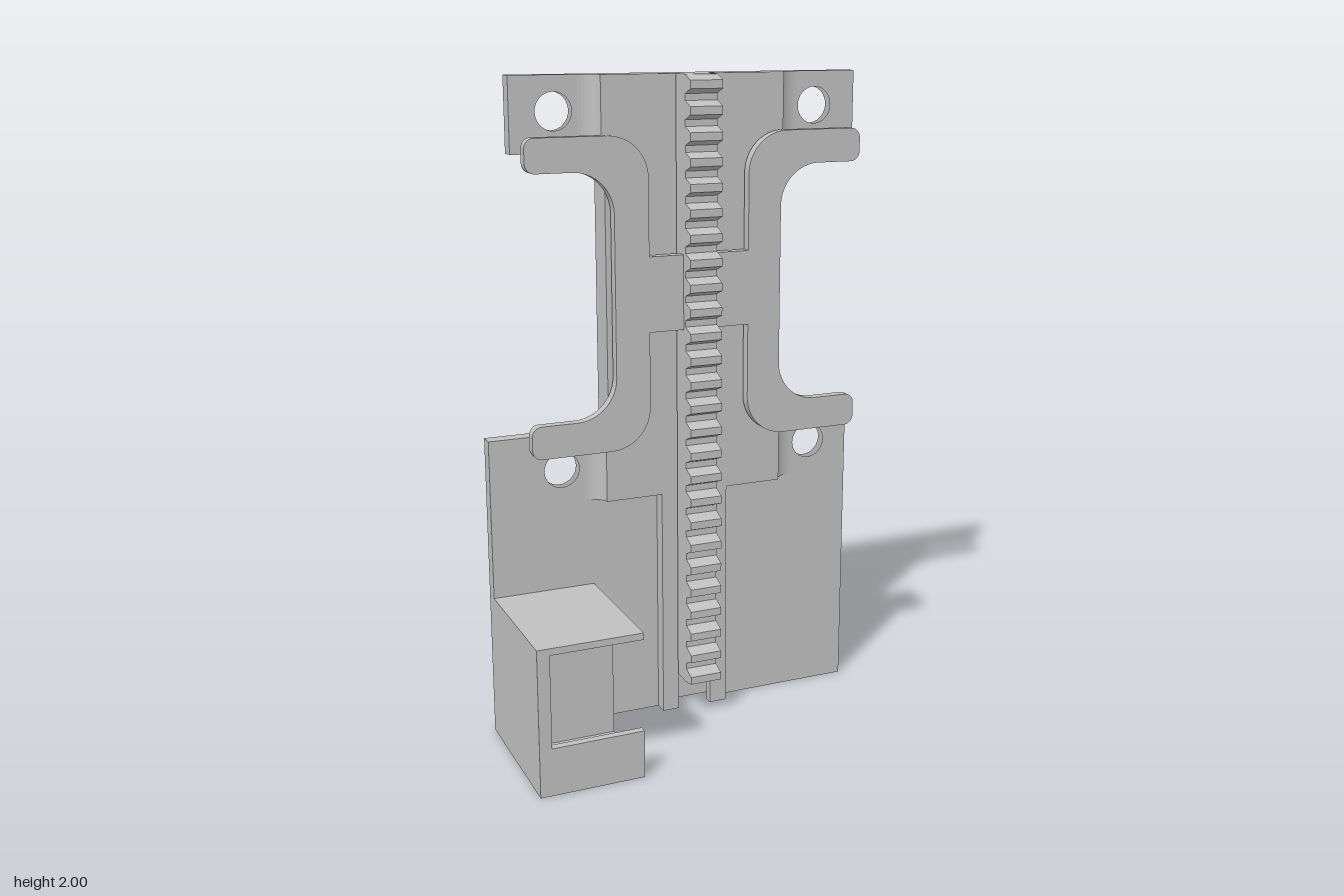
import * as THREE from 'three';

const grey = new THREE.MeshStandardMaterial({ color: 0xc0c0c0 });
grey.name = 'plain grey';

// Key positions
const AXIS = 0.0425;                      // centre line of the rack
const SLOT_L = -0.047, SLOT_R = 0.135;    // wide part of the T slot
const NECK_L = -0.013, NECK_R = 0.098;    // narrow mouth of the T slot
const BACK = -0.235, SLOT_BACK = -0.221, FACE = -0.19, RAISED = -0.147;

export function createModel() {
  const model = new THREE.Group();

  const add = (name, geometry, parent = model) => {
    const mesh = new THREE.Mesh(geometry, grey);
    mesh.name = name;
    parent.add(mesh);
    return mesh;
  };
  const group = (name) => {
    const g = new THREE.Group();
    g.name = name;
    model.add(g);
    return g;
  };
  const polygon = (pts) => new THREE.Shape(pts.map(([x, y]) => new THREE.Vector2(x, y)));
  const extrude = (shape, depth) =>
    new THREE.ExtrudeGeometry(shape, { depth, bevelEnabled: false, curveSegments: 16 });
  // Outline in x, y pushed along z
  const slab = (shape, z0, z1) => extrude(shape, z1 - z0).translate(0, 0, z0);
  // Outline in x, z pushed along y
  const column = (pts, y0, y1) => extrude(polygon(pts), y1 - y0).rotateX(Math.PI / 2).translate(0, y1, 0);
  const box = (x0, x1, y0, y1, z0, z1) =>
    new THREE.BoxGeometry(x1 - x0, y1 - y0, z1 - z0)
      .translate((x0 + x1) / 2, (y0 + y1) / 2, (z0 + z1) / 2);

  // Mounting plate: wide base, narrow neck, wide head, four screw holes
  const plate = group('mountingPlate');
  const leftEdge = [[-0.598, 0], [-0.598, 0.948], [-0.237, 0.948], [-0.237, 1.78], [-0.505, 1.78], [-0.505, 2]];
  const rightEdge = [[0.595, 2], [0.595, 1.78], [0.325, 1.78], [0.325, 0.948], [0.595, 0.948], [0.595, 0]];
  const plateShape = (pts, holeXs) => {
    const shape = polygon(pts);
    for (const x of holeXs) for (const y of [0.835, 1.898]) {
      shape.holes.push(new THREE.Path().absarc(x, y, 0.055, 0, Math.PI * 2, true));
    }
    return shape;
  };
  add('backLayer', slab(plateShape([...leftEdge, ...rightEdge], [-0.373, 0.46]), BACK, SLOT_BACK), plate);
  add('frontLayerRight', slab(plateShape([...leftEdge, [SLOT_L, 2], [SLOT_L, 0]], [-0.373]), SLOT_BACK, FACE), plate);
  add('frontLayerLeft', slab(plateShape([[SLOT_R, 0], [SLOT_R, 2], ...rightEdge], [0.46]), SLOT_BACK, FACE), plate);

  // Raised guide on both sides of the slot, with coved outer edges on base and head
  const guide = group('slidingGuide');
  const guideHalf = (side, outer, y0, y1, coved) => {
    const [wide, mouth] = side < 0 ? [SLOT_L, NECK_L] : [SLOT_R, NECK_R];
    const pts = [[wide, FACE], [wide, -0.175], [mouth, -0.175], [mouth, RAISED], [outer, RAISED]];
    if (coved) {
      for (let i = 1; i <= 10; i++) {
        const a = (i / 10) * Math.PI / 2;
        pts.push([outer + side * 0.065 * (1 - Math.cos(a)), RAISED + (FACE - RAISED) * Math.sin(a)]);
      }
    } else pts.push([outer, FACE]);
    add(side < 0 ? 'guideRight' : 'guideLeft', column(pts, y0, y1), guide);
  };
  for (const side of [-1, 1]) {
    const pick = (l, r) => (side < 0 ? l : r);
    guideHalf(side, pick(-0.065, 0.153), 0, 0.73, false);
    guideHalf(side, pick(-0.245, 0.335), 0.73, 0.948, true);
    guideHalf(side, pick(-0.237, 0.325), 0.948, 1.78, false);
    guideHalf(side, pick(-0.245, 0.335), 1.78, 2, true);
  }

  // Toothed rack with a T-shaped foot that runs in the slot
  const rack = group('rack');
  const bottom = 0.115, pitch = 0.0735, root = -0.088, tip = -0.05;
  add('rackFoot', box(-0.039, 0.127, bottom, 2, -0.216, -0.181), rack);
  const teeth = [[-0.181, bottom], [-0.181, 2], [root, 2]];
  for (let k = 0; k < 26; k++) {
    const y = 1.972 - k * pitch;
    for (const [z, dy] of [[root, 0.027], [tip, 0.012], [tip, -0.012], [root, -0.027]]) {
      teeth.push([z, Math.max(y + dy, bottom)]);
    }
  }
  add('rackTeeth', extrude(polygon(teeth), 0.102).rotateY(-Math.PI / 2).translate(0.093, 0, 0), rack);

  // H-shaped carrier with four curved arms; one quarter is mirrored to the rest
  const midY = 1.366, r = 0.125, arm = 0.532, end = 0.03;
  const inner = 0.16, outer = 0.267, low = 0.366, high = 0.466;
  const quarter = new THREE.Path();
  quarter.moveTo(outer, 0);
  quarter.lineTo(outer, low - r);
  quarter.absarc(outer + r, low - r, r, Math.PI, Math.PI / 2, true);
  quarter.lineTo(arm - end, low);
  quarter.absarc(arm - end, low + end, end, -Math.PI / 2, 0, false);
  quarter.absarc(arm - end, high - end, end, 0, Math.PI / 2, false);
  quarter.lineTo(inner + r, high);
  quarter.absarc(inner + r, high - r, r, Math.PI / 2, Math.PI, false);
  quarter.lineTo(inner, 0.113);
  quarter.lineTo(0, 0.113);
  const q = quarter.getPoints(10).map((p) => [p.x, p.y]);
  const mirror = (pts, sx, sy) => pts.map(([x, y]) => [x * sx, y * sy]);
  const half = [...q, ...mirror(q, -1, 1).reverse().slice(1)];
  const outline = [...half, ...mirror(half, 1, -1).reverse().slice(1, -1)];
  const carrier = polygon(outline.map(([x, y]) => [x + AXIS, y + midY]));
  add('carrierArms', slab(carrier, -0.135, -0.103));

  // Open motor holder at the lower corner
  const holder = group('motorHolder');
  const x0 = -0.598, x1 = -0.278, front = 0.235;
  add('holderFloor', box(x0, x1, 0, 0.026, FACE, front), holder);
  add('holderTop', box(x0, x1, 0.434, 0.455, FACE, front), holder);
  add('holderSide', box(x0, -0.56, 0.026, 0.434, FACE, front), holder);
  add('holderLip', box(-0.56, x1, 0.026, 0.148, 0.211, front), holder);
  add('holderBack', box(-0.56, x1, 0.026, 0.434, -0.055, -0.027), holder);

  return model;
}
